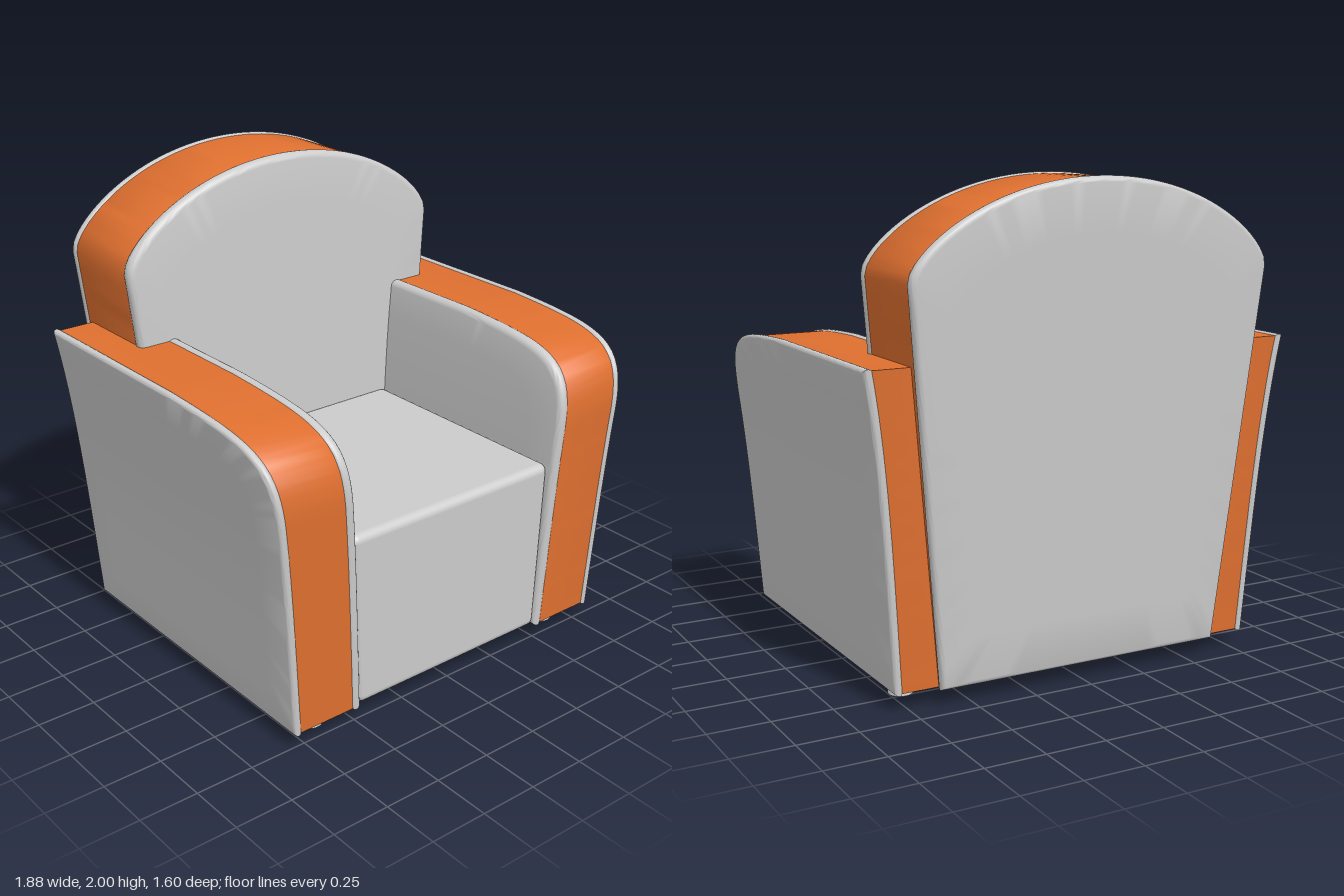
import * as THREE from 'three';
import { toCreasedNormals } from 'three/addons/utils/BufferGeometryUtils.js';
import { RoundedBoxGeometry } from 'three/addons/geometries/RoundedBoxGeometry.js';

const grey = new THREE.MeshStandardMaterial({ color: 0xcccccc });
const orange = new THREE.MeshStandardMaterial({ color: 0xe07030 });
const FLOOR = 0.065; // underside of the upholstery

// Evenly divided points on every edge of a closed shape, corners kept
const outlinePoints = (shape) =>
  shape.curves.flatMap((c) => c.getSpacedPoints(24).slice(0, -1));

// Padded slab: rings of a counter-clockwise outline from t0 to t1 with rounded
// rims; place(u, v, t) bends each point into its final position.
function slab(outline, t0, t1, r, inset, place, flip = false) {
  const box = new THREE.Box2().setFromPoints(outline);
  const mid = box.getCenter(new THREE.Vector2());
  const half = box.getSize(new THREE.Vector2()).multiplyScalar(0.5);
  const half1 = [];
  for (const f of [0, 0.2, 0.4, 0.6, 0.8]) half1.push([f, inset + r, 0]);
  for (let i = 0; i <= 5; i++) {
    const a = (i / 5) * Math.PI / 2;
    half1.push([1, inset + r * (1 - Math.sin(a)), r * (1 - Math.cos(a))]);
  }
  const rings = [
    ...half1.map(([f, d, h]) => [f, d, t0 + h]),
    ...half1.map(([f, d, h]) => [f, d, t1 - h]).reverse(),
  ];
  const pos = [], index = [], n = outline.length;
  for (const [f, d, t] of rings) {
    for (const p of outline) {
      const u = mid.x + (p.x - mid.x) * f * (1 - d / half.x);
      const v = mid.y + (p.y - mid.y) * f * (1 - d / half.y);
      pos.push(...place(u, v, t));
    }
  }
  const tri = (a, b, c) => (flip ? index.push(a, c, b) : index.push(a, b, c));
  for (let i = 0; i < rings.length - 1; i++) {
    for (let j = 0; j < n; j++) {
      const k = (j + 1) % n;
      const a = i * n + j, b = i * n + k, c = b + n, d = a + n;
      if (i < rings.length - 2) tri(a, c, d);
      if (i > 0) tri(a, b, c);
    }
  }
  const geo = new THREE.BufferGeometry();
  geo.setAttribute('position', new THREE.Float32BufferAttribute(pos, 3));
  geo.setIndex(index);
  return toCreasedNormals(geo, 0.7);
}

function addMesh(parent, name, geo, material) {
  const mesh = new THREE.Mesh(geo, material);
  mesh.name = name;
  parent.add(mesh);
  return mesh;
}

// Arm: coloured core between two grey side panels, flaring outwards with height
function makeArm(side) {
  const shape = new THREE.Shape();
  shape.moveTo(-0.655, FLOOR);
  shape.lineTo(0.775, FLOOR);
  shape.lineTo(0.80, 1.0);
  shape.bezierCurveTo(0.80, 1.29, 0.66, 1.31, 0.15, 1.332);
  shape.lineTo(-0.703, 1.332);
  shape.lineTo(-0.655, FLOOR);
  const outline = outlinePoints(shape);
  const place = (z, y, t) => {
    const s = (y - FLOOR) / 1.267;
    const flare = 0.7 * s + 0.3 * s ** 4;
    return [side * (t + flare * (0.095 + (t - 0.48) * 0.11)), y, z];
  };
  const arm = new THREE.Group();
  arm.name = side > 0 ? 'leftArm' : 'rightArm';
  const flip = side > 0;
  addMesh(arm, 'armCore', slab(outline, 0.51, 0.79, 0.005, 0.006, place, flip), orange);
  addMesh(arm, 'armInnerPanel', slab(outline, 0.48, 0.53, 0.024, 0, place, flip), grey);
  addMesh(arm, 'armOuterPanel', slab(outline, 0.775, 0.811, 0.017, 0, place, flip), grey);
  return arm;
}

// Backrest: arched core between front and rear panels, leaning backwards
function makeBackrest() {
  const shape = new THREE.Shape();
  shape.moveTo(-0.63, FLOOR);
  shape.lineTo(0.63, FLOOR);
  shape.lineTo(0.787, 1.63);
  shape.bezierCurveTo(0.80, 1.72, 0.50, 2.0, 0, 2.0);
  shape.bezierCurveTo(-0.50, 2.0, -0.80, 1.72, -0.787, 1.63);
  shape.lineTo(-0.63, FLOOR);
  const outline = outlinePoints(shape);
  const place = (x, y, t) =>
    [x, y, t - (y - FLOOR) * (0.04 + 0.034 * (-0.25 - t))];
  const back = new THREE.Group();
  back.name = 'backrest';
  addMesh(back, 'backCore', slab(outline, -0.67, -0.28, 0.005, 0.006, place), orange);
  addMesh(back, 'backFrontPanel', slab(outline, -0.31, -0.253, 0.027, 0, place), grey);
  addMesh(back, 'backRearPanel', slab(outline, -0.693, -0.645, 0.023, 0, place), grey);
  return back;
}

// Seat: rounded block, slightly narrower at the bottom
function makeSeat() {
  const geo = new RoundedBoxGeometry(1.05, 0.76, 1.07, 5, 0.035);
  const p = geo.attributes.position;
  for (let i = 0; i < p.count; i++) {
    const s = 0.5 - p.getY(i) / 0.76;
    p.setX(i, p.getX(i) * (1 - 0.07 * s));
  }
  geo.translate(0, 0.45, 0.235);
  return geo;
}

export function createModel() {
  const chair = new THREE.Group();
  chair.name = 'armchair';
  chair.add(makeBackrest(), makeArm(1), makeArm(-1));
  addMesh(chair, 'seat', makeSeat(), grey);

  // Small turned feet
  const profile = [[0, 0], [0.05, 0], [0.05, 0.008], [0.043, 0.022], [0.03, 0.032], [0.03, 0.08]]
    .map(([x, y]) => new THREE.Vector2(x, y));
  const footGeo = toCreasedNormals(new THREE.LatheGeometry(profile, 24), 0.6);
  for (const side of [1, -1]) {
    for (const [name, x, z] of [['frontFoot', 0.645, 0.65], ['rearFoot', 0.70, -0.46]]) {
      addMesh(chair, name, footGeo, grey).position.set(side * x, 0, z);
    }
  }
  return chair;
}
